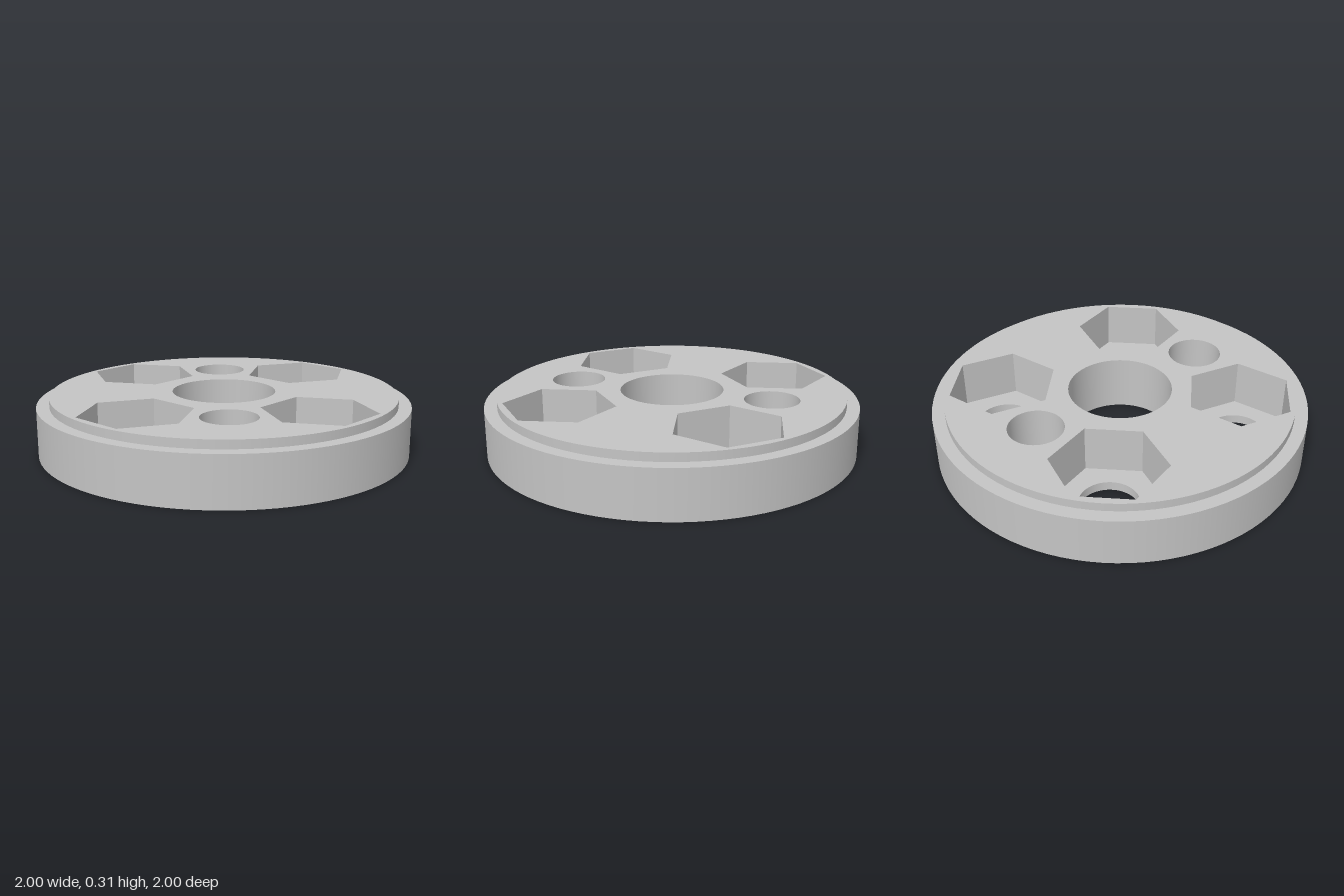
import * as THREE from 'three';

const H = 0.305, STEP = 0.26, FLOOR = 0.05, SEG = 96;
const steel = new THREE.MeshStandardMaterial({ color: 0xc4c4c4 });
steel.name = 'grey metal';

// Outline of a circle or polygon in plan: centre, radius, sides, start angle
const ring = (x, z, r, sides = SEG, start = 0) => ({ x, z, r, sides, start });

// Horizontal face with openings, turned up or down
function face(outer, holes, y, up) {
  const outline = (o) => Array.from({ length: o.sides }, (_, i) => {
    const a = o.start + (i / o.sides) * Math.PI * 2;
    const z = o.z + o.r * Math.cos(a);
    return new THREE.Vector2(o.x + o.r * Math.sin(a), up ? -z : z);
  });
  const shape = new THREE.Shape(outline(outer));
  shape.holes = holes.map((h) => new THREE.Path(outline(h)));
  return new THREE.ShapeGeometry(shape).rotateX(up ? -Math.PI / 2 : Math.PI / 2).translate(0, y, 0);
}

// Upright wall: faces outward when y0 < y1, inward when y0 > y1
function wall(o, y0, y1) {
  const profile = [new THREE.Vector2(o.r, y0), new THREE.Vector2(o.r, y1)];
  let geo = new THREE.LatheGeometry(profile, o.sides, o.start);
  if (o.sides === 6) {
    geo = geo.toNonIndexed();
    geo.computeVertexNormals();
  }
  return geo.translate(o.x, 0, o.z);
}

export function createModel() {
  const model = new THREE.Group();
  model.name = 'hubPlate';
  const add = (name, geo) => {
    const mesh = new THREE.Mesh(geo, steel);
    mesh.name = name;
    model.add(mesh);
  };

  // Openings
  const rim = ring(0, 0, 1), raised = ring(0, 0, 0.932);
  const bore = ring(0, 0, 0.278);
  const pins = [1, -1].map((s) => ring(0.392 * s, -0.392 * s, 0.146));
  const bolts = [], pockets = [];
  for (let i = 0; i < 4; i++) {
    const a = (i * Math.PI) / 2;
    const x = 0.638 * Math.cos(a), z = 0.638 * Math.sin(a);
    bolts.push(ring(x, z, 0.155));
    pockets.push(ring(x, z, 0.296, 6, a));
  }

  // Stepped disc body
  add('outerRim', wall(rim, 0, STEP));
  add('rimLedge', face(rim, [raised], STEP, true));
  add('raisedEdge', wall(raised, STEP, H));
  add('topFace', face(raised, [bore, ...pins, ...pockets], H, true));
  add('bottomFace', face(rim, [bore, ...pins, ...bolts], 0, false));

  // Through holes
  add('centreBore', wall(bore, H, 0));
  pins.forEach((p) => add('pinHole', wall(p, H, 0)));

  // Hexagonal nut pockets with bolt holes in their floors
  pockets.forEach((p, i) => {
    add('nutPocketWall', wall(p, H, FLOOR));
    add('nutPocketFloor', face(p, [bolts[i]], FLOOR, true));
    add('boltHole', wall(bolts[i], FLOOR, 0));
  });
  return model;
}
